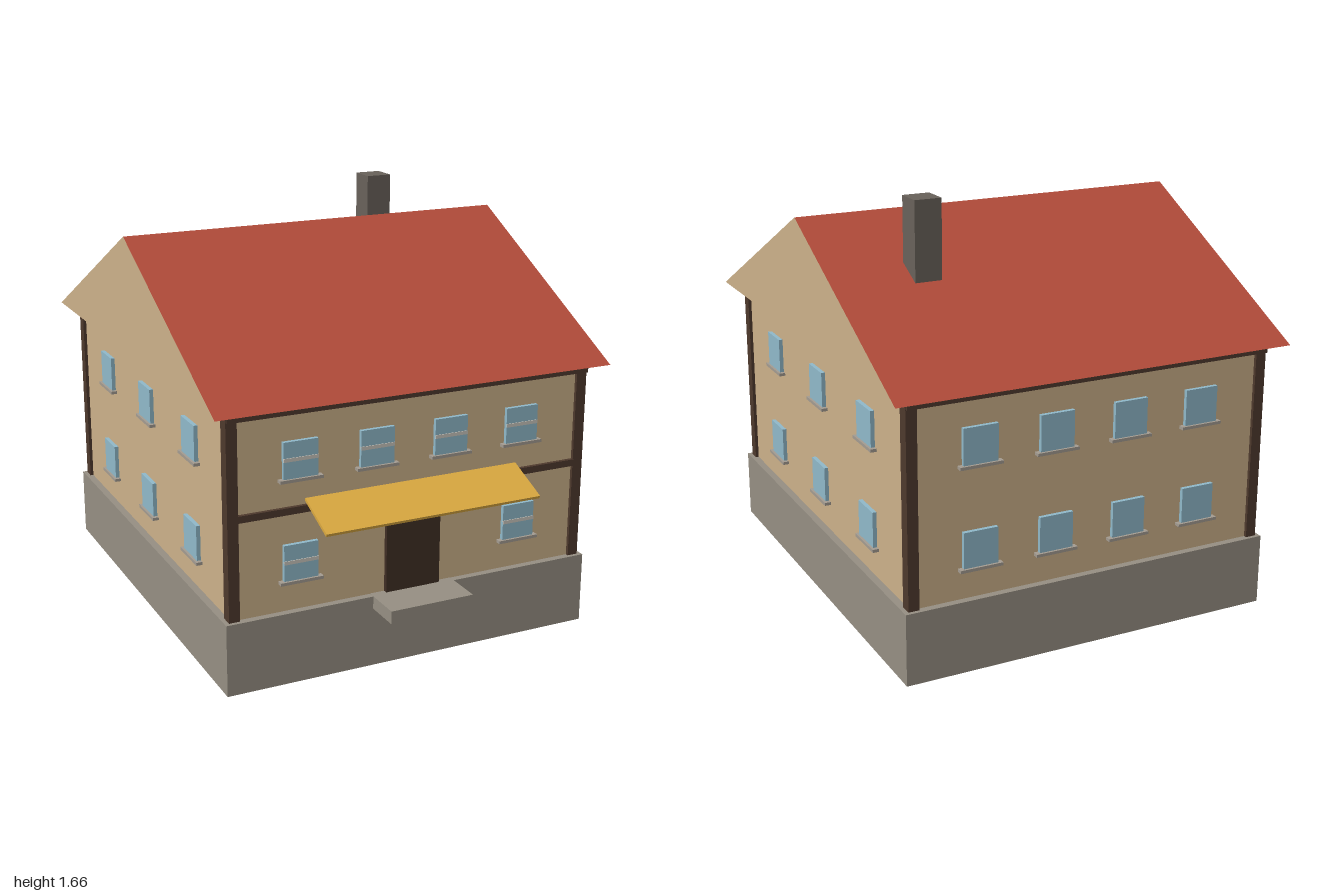
import * as THREE from 'three';

const mat = (name, color) => {
  const m = new THREE.MeshStandardMaterial({ color });
  m.name = name;
  return m;
};

export function createModel() {
  const plaster = mat('plaster', 0xcbb089);
  const roofTile = mat('roofTile', 0xb34c3a);
  const stone = mat('stone', 0x958e82);
  const timber = mat('timber', 0x4e392d);
  const doorWood = mat('doorWood', 0x3f2e24);
  const glass = mat('glass', 0x8fb8c9);
  const trim = mat('trim', 0xc9c6bd);
  const sillStone = mat('sillStone', 0xa39b90);
  const chimneyBrick = mat('chimneyBrick', 0x68615a);
  const canvas = mat('awningCanvas', 0xd9a840);

  const model = new THREE.Group();
  model.name = 'house';
  const CZ = -0.055; // centre of the building along z
  const HX = 0.74, HZ = 0.865; // wall half sizes
  const BASE = 0.285, EAVE = 1.085, RIDGE = 1.555;

  // Box given by its extents
  const box = (name, m, x0, x1, y0, y1, z0, z1, parent = model) => {
    const mesh = new THREE.Mesh(new THREE.BoxGeometry(x1 - x0, y1 - y0, z1 - z0), m);
    mesh.position.set((x0 + x1) / 2, (y0 + y1) / 2, (z0 + z1) / 2);
    mesh.name = name;
    parent.add(mesh);
    return mesh;
  };

  // Plinth, walls and front step
  box('plinth', stone, -0.77, 0.77, 0, BASE, CZ - 0.893, CZ + 0.893);
  box('walls', plaster, -HX, HX, BASE, EAVE, CZ - HZ, CZ + HZ);
  box('step', stone, -0.174, 0.174, 0.235, BASE + 0.001, 0.8, 0.985);

  // Corner posts and eave beams
  for (const s of [-1, 1]) {
    for (const t of [-1, 1]) {
      const post = box('cornerPost', timber, -0.0215, 0.0215, BASE, EAVE, -0.024, 0.024);
      post.position.x = s * 0.7315;
      post.position.z = CZ + t * 0.854;
    }
    const beam = box('eaveBeam', timber, -0.752, 0.752, 1.05, EAVE, -0.02, 0.02);
    beam.position.z = CZ + s * 0.87;
  }
  box('floorBeam', timber, -0.712, 0.712, 0.668, 0.695, 0.8, 0.825);

  // Door and lintel
  box('door', doorWood, -0.114, 0.114, BASE, 0.577, 0.8, 0.828);
  box('lintel', timber, -0.131, 0.131, 0.577, 0.597, 0.8, 0.837);

  // Windows, placed on a wall group whose +z faces outwards
  const addWindow = (wall, x, y, barred) => {
    const w = new THREE.Group();
    w.name = 'window';
    w.position.set(x, y, 0);
    box('pane', glass, -0.069, 0.069, 0, 0.142, -0.01, 0.016, w);
    box('sill', sillStone, -0.086, 0.086, -0.011, 0.001, -0.01, 0.025, w);
    if (barred) box('glazingBar', trim, -0.069, 0.069, 0.067, 0.081, 0.01, 0.019, w);
    wall.add(w);
  };
  const fourWide = [-0.465, -0.155, 0.155, 0.465];
  const threeWide = [-0.496, 0, 0.496];
  const walls = [
    { name: 'frontWindows', x: 0, z: HZ, turn: 0, upper: fourWide, lower: [-0.465, 0.465], barred: true },
    { name: 'backWindows', x: 0, z: -HZ, turn: Math.PI, upper: fourWide, lower: fourWide },
    { name: 'leftWindows', x: HX, z: 0, turn: Math.PI / 2, upper: threeWide, lower: threeWide },
    { name: 'rightWindows', x: -HX, z: 0, turn: -Math.PI / 2, upper: threeWide, lower: threeWide },
  ];
  for (const d of walls) {
    const wall = new THREE.Group();
    wall.name = d.name;
    wall.position.set(d.x, 0, CZ + d.z);
    wall.rotation.y = d.turn;
    d.upper.forEach((x) => addWindow(wall, x, 0.805, d.barred));
    d.lower.forEach((x) => addWindow(wall, x, 0.408, d.barred));
    model.add(wall);
  }

  // Roof: solid prism with plastered gables
  const gable = new THREE.Shape();
  gable.moveTo(-0.942, EAVE);
  gable.lineTo(0.942, EAVE);
  gable.lineTo(0, RIDGE);
  gable.closePath();
  const roofGeo = new THREE.ExtrudeGeometry(gable, { depth: 1.634, bevelEnabled: false });
  roofGeo.translate(0, 0, -0.817);
  roofGeo.rotateY(Math.PI / 2);
  const roof = new THREE.Mesh(roofGeo, [plaster, roofTile]);
  roof.name = 'roof';
  roof.position.z = CZ;
  model.add(roof);

  // Chimney
  box('chimney', chimneyBrick, 0.389, 0.498, 1.2, 1.665, -0.457, -0.347);

  // Sloping awning over the door
  const awning = box('awning', canvas, -0.446, 0.446, -0.006, 0.006, -0.098, 0.098);
  awning.position.set(0, 0.678, 0.907);
  awning.rotation.x = Math.atan2(0.075, 0.18);

  return model;
}
